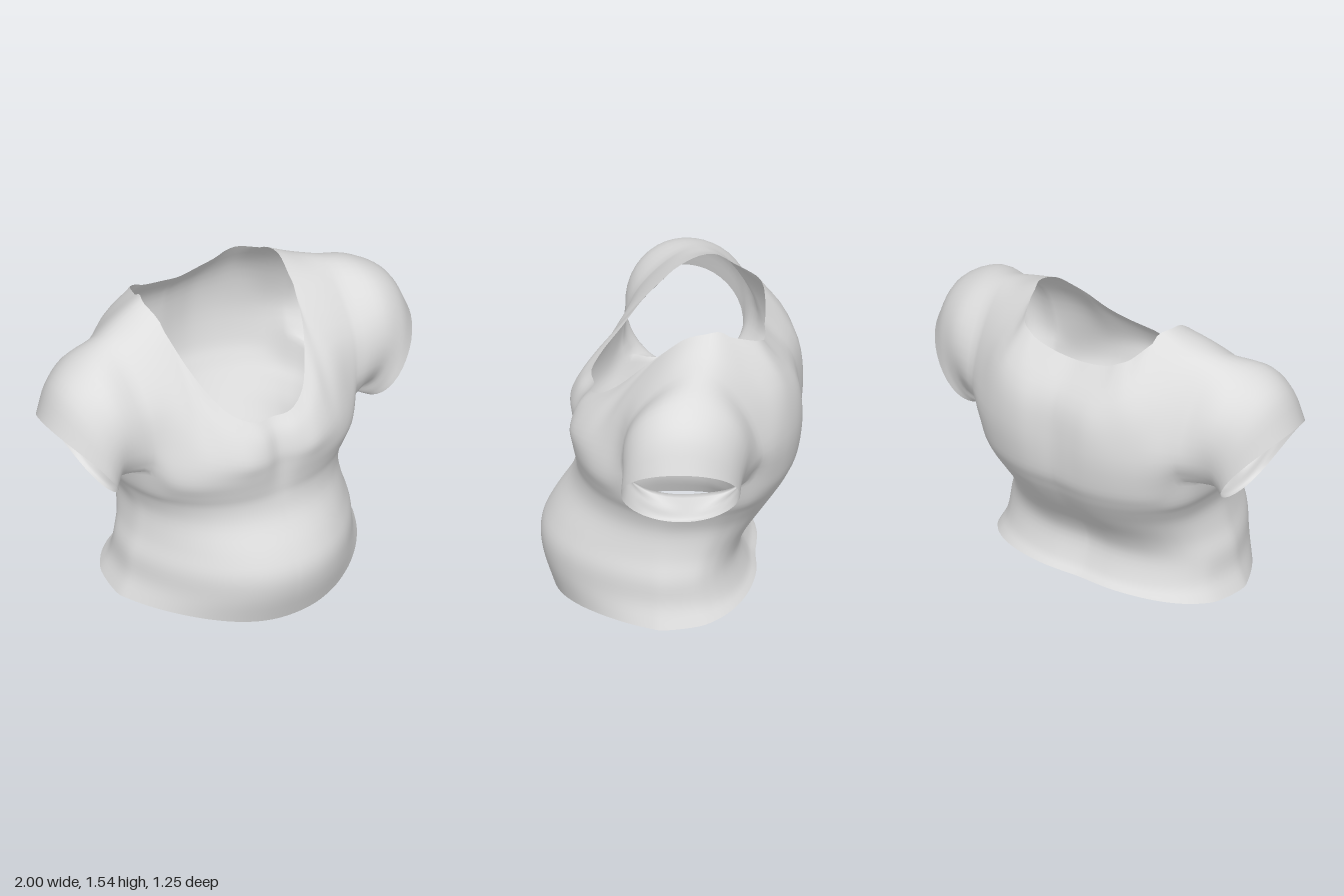
import * as THREE from 'three';
import { mergeVertices } from 'three/addons/utils/BufferGeometryUtils.js';

const S = 4; // subdivisions between control points
const V = (x, y, z) => new THREE.Vector3(x, y, z);

// Smooth curve through points, S samples per interval, with optional mirrored ends at x = 0
function smooth(pts, mirrorStart = false, mirrorEnd = false) {
  const flip = p => V(-p.x, p.y, p.z);
  const all = [...pts];
  if (mirrorStart) all.unshift(flip(pts[1]));
  if (mirrorEnd) all.push(flip(pts[pts.length - 2]));
  const out = new THREE.CatmullRomCurve3(all, false, 'catmullrom', 0.5).getPoints((all.length - 1) * S);
  return out.slice(mirrorStart ? S : 0, mirrorEnd ? out.length - S : out.length);
}

// Torso levels: y, half width, front z, back z, middle z, cleavage depth, front roundness
const LEVELS = [
  [0.05, 0.66, 0.57, -0.41, 0.03, 0, 1.4],
  [0.16, 0.615, 0.62, -0.37, 0.03, 0, 1.4],
  [0.28, 0.6, 0.625, -0.335, 0.03, 0, 1.4],
  [0.39, 0.565, 0.575, -0.375, 0.02, 0, 1.5],
  [0.52, 0.55, 0.49, -0.47, 0, 0, 1.65],
  [0.62, 0.58, 0.463, -0.535, -0.03, 0.003, 1.8],
  [0.7, 0.62, 0.472, -0.578, -0.05, 0.015, 2],
  [0.8, 0.65, 0.492, -0.615, -0.05, 0.035, 2.1],
];
const FRACTIONS = [0, 0.14, 0.28, 0.43, 0.58, 0.7, 0.8, 0.89];
const ARMPIT = (LEVELS.length - 1) * S; // dense row index of the armpit
const NECK = ARMPIT + 3 * S;            // dense row index of the neckline
const CORNER = 5;                       // column at the neck corner

function torsoPoint([y, w, zf, zb, zc, dent, round], f, front) {
  const bend = Math.max(0, 1 - f ** (front ? 2.15 : 2.5)) ** (1 / (front ? round : 2.5));
  const x = w * f;
  let z = zc + ((front ? zf : zb) - zc) * bend;
  z += front ? -dent * Math.exp(-((x / 0.08) ** 2)) : 0.015 * Math.exp(-((x / 0.12) ** 2));
  // The hem dips at the front and rises at the back; the armhole rises before and behind the arm
  if (y === 0.05) y = z > 0 ? 0.055 - 0.055 * Math.min(1, z / 0.57) ** 4 : 0.055 + 0.055 * (-z / 0.41) ** 1.5;
  if (y === 0.8) y += 0.05 * Math.exp(-(((f - 0.89) / 0.07) ** 2));
  return V(x, y, z);
}

// Chest and back control points above the armpit, centre to shoulder
const CHEST = [
  [[0, 0.88, 0.455], [0, 0.97, 0.425], [0, 1.04, 0.375]],
  [[0.09, 0.88, 0.483], [0.09, 0.975, 0.45], [0.1, 1.05, 0.388]],
  [[0.185, 0.89, 0.485], [0.19, 1.0, 0.43], [0.2, 1.1, 0.335]],
  [[0.28, 0.91, 0.445], [0.28, 1.06, 0.36], [0.27, 1.19, 0.245]],
  [[0.37, 0.93, 0.385], [0.35, 1.13, 0.275], [0.33, 1.32, 0.135]],
  [[0.445, 0.95, 0.325], [0.415, 1.19, 0.225], [0.365, 1.45, 0]],
  [[0.515, 0.96, 0.272], [0.5, 1.2, 0.2], [0.49, 1.41, 0.02]],
  [[0.58, 0.97, 0.235], [0.6, 1.18, 0.19], [0.61, 1.36, 0.04]],
];
const BACK = [
  [[0, 1, -0.605], [0, 1.2, -0.57], [0, 1.37, -0.44]],
  [[0.09, 1, -0.614], [0.1, 1.2, -0.578], [0.1, 1.38, -0.444]],
  [[0.185, 1, -0.622], [0.19, 1.2, -0.585], [0.2, 1.4, -0.44]],
  [[0.28, 1, -0.608], [0.27, 1.21, -0.57], [0.26, 1.43, -0.43]],
  [[0.37, 1, -0.577], [0.35, 1.24, -0.535], [0.31, 1.455, -0.395]],
  [[0.445, 1, -0.54], [0.415, 1.26, -0.485], [0.355, 1.5, -0.28]],
  [[0.525, 1, -0.49], [0.5, 1.24, -0.425], [0.49, 1.43, -0.27]],
  [[0.6, 0.99, -0.425], [0.61, 1.2, -0.365], [0.62, 1.38, -0.24]],
];
const RIDGE = { 5: [0.38, 1.53, -0.16], 6: [0.5, 1.472, -0.14], 7: [0.62, 1.435, -0.11] };

// Sleeve loops: centre x, y, z, x and y reach of the top, z radius, inward bow
const SLEEVE = [
  [0.73, 1.06, -0.07, 0.05, 0.325, 0.302, 0],
  [0.81, 0.99, -0.055, 0.11, 0.295, 0.287, 0.015],
  [0.86, 0.9, -0.045, 0.14, 0.21, 0.285, 0.04],
];
const SLEEVE_ANGLES = [-45, -15, 25, 62, 90, 120, 155, 195, 225, 250, 270, 290, 315];

function buildHalf(tri) {
  // Joins neighbouring rows of points with quads
  const skin = rows => rows.slice(1).forEach((b, k) => {
    const a = rows[k];
    for (let i = 0; i < a.length - 1; i++) {
      tri(a[i], a[i + 1], b[i + 1]);
      tri(a[i], b[i + 1], b[i]);
    }
  });

  // Vertical curves of the front, back and side; shoulder curves run over the top
  const front = [], back = [], over = [];
  FRACTIONS.forEach((f, j) => {
    const up = [...LEVELS.map(l => torsoPoint(l, f, true)), ...CHEST[j].map(p => V(...p))];
    const rear = [...LEVELS.map(l => torsoPoint(l, f, false)), ...BACK[j].map(p => V(...p))];
    if (RIDGE[j]) {
      const line = smooth([...up, V(...RIDGE[j]), ...rear.reverse()]);
      over.push(line);
      front.push(line);
      back.push([...line].reverse());
    } else {
      front.push(smooth(up));
      back.push(smooth(rear));
    }
  });
  const sides = [[0.965, true], [1, true], [0.965, false]].map(([f, isFront]) =>
    smooth(LEVELS.map(l => torsoPoint(l, f, isFront))));

  // Lower torso, hem to armpit
  const at = (cols, r) => cols.map(c => c[r]);
  const lower = [];
  for (let r = 0; r <= ARMPIT; r++) {
    lower.push(smooth([...at(front, r), ...at(sides, r), ...at(back, r).reverse()], true, true));
  }
  skin(lower);

  // Chest and upper back, armpit to neckline, with a sharp corner where the neckline turns
  const across = (cols, r) => r < NECK ? smooth(at(cols, r), true) : [
    ...smooth(at(cols, r).slice(0, CORNER + 1), true),
    ...smooth(at(cols, r).slice(CORNER)).slice(1),
  ];
  const armpit = lower[ARMPIT], span = 7 * S;
  const chest = [armpit.slice(0, span + 1)], rear = [armpit.slice(-span - 1)];
  for (let r = ARMPIT + 1; r <= NECK; r++) {
    chest.push(across(front, r));
    rear.push(across(back, r).reverse());
  }
  skin(chest);
  skin(rear);

  // Shoulder strip from the front neckline over to the back
  const shoulder = [chest[chest.length - 1].slice(CORNER * S)];
  for (let r = NECK + 1; r < NECK + 2 * S; r++) shoulder.push(smooth(at(over, r)));
  shoulder.push(rear[rear.length - 1].slice(0, 2 * S + 1).reverse());
  skin(shoulder);

  // Sleeve from the armhole to the cuff
  const hole = [
    ...over[2].slice(ARMPIT, over[2].length - ARMPIT),
    ...armpit.slice(span + 1, armpit.length - span - 1).reverse(),
  ];
  const lines = hole.map((root, i) => {
    const k = Math.floor(i / S);
    const deg = THREE.MathUtils.lerp(SLEEVE_ANGLES[k], SLEEVE_ANGLES[k + 1], i / S - k);
    const c = Math.cos(deg * Math.PI / 180), s = Math.sin(deg * Math.PI / 180);
    return smooth([root, ...SLEEVE.map(([x, y, z, ux, uy, r, bow]) =>
      V(x + ux * s - bow * c * c, y + uy * s, z + r * c))]);
  });
  skin([...lines, lines[0]]);
}

export function createModel() {
  const positions = [];
  const put = (p, side) => positions.push(p.x * side, p.y, p.z);
  // Left half and its mirror image
  buildHalf((a, b, c) => {
    put(a, 1); put(b, 1); put(c, 1);
    put(a, -1); put(c, -1); put(b, -1);
  });
  let geometry = new THREE.BufferGeometry();
  geometry.setAttribute('position', new THREE.Float32BufferAttribute(positions, 3));
  geometry = mergeVertices(geometry, 1e-4);
  geometry.computeVertexNormals();

  const fabric = new THREE.MeshStandardMaterial({ color: 0xdddddd, side: THREE.DoubleSide });
  fabric.name = 'light grey fabric';
  const shirt = new THREE.Mesh(geometry, fabric);
  shirt.name = 'shirt';
  const group = new THREE.Group();
  group.name = 'shortSleevedTop';
  group.add(shirt);
  return group;
}
